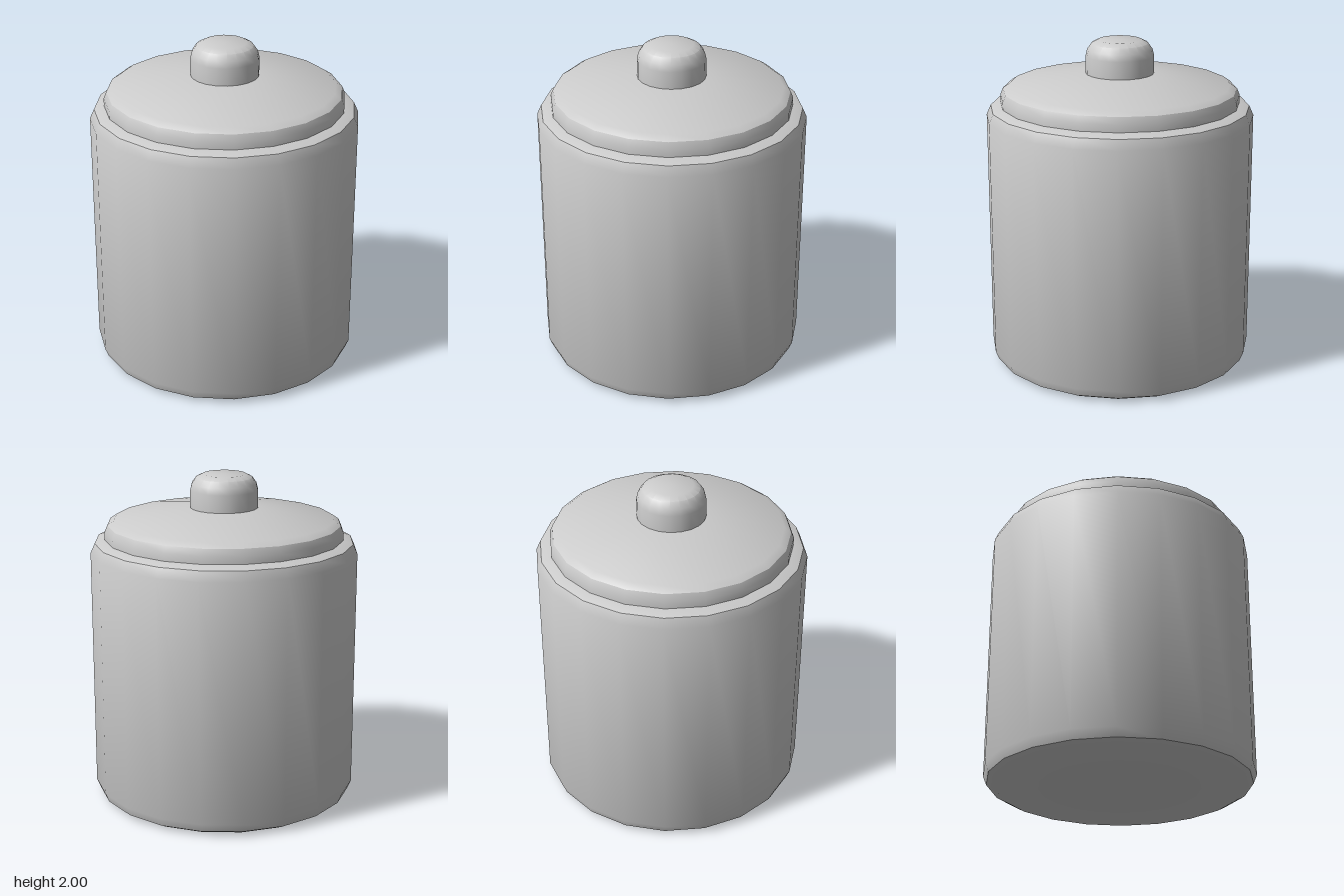
import * as THREE from 'three';
import { toCreasedNormals } from 'three/addons/utils/BufferGeometryUtils.js';

const SIDES = 20;
const material = new THREE.MeshStandardMaterial({ color: 0xcccccc });

// Turned part from [radius, height] pairs, bottom to top
function turned(name, profile) {
  const points = profile.map(([r, y]) => new THREE.Vector2(r, y));
  const geometry = toCreasedNormals(new THREE.LatheGeometry(points, SIDES), THREE.MathUtils.degToRad(30));
  const mesh = new THREE.Mesh(geometry, material);
  mesh.name = name;
  return mesh;
}

export function createModel() {
  const group = new THREE.Group();
  group.name = 'liddedJar';

  // Body with bevelled foot and shoulder
  group.add(turned('body', [
    [0, 0], [0.735, 0], [0.787, 0.028], [0.808, 0.08],
    [0.808, 1.54], [0.782, 1.598], [0.72, 1.62], [0, 1.62],
  ]));

  // Lid with rounded rim and shallow cone
  group.add(turned('lid', [
    [0, 1.615], [0.722, 1.615], [0.722, 1.665], [0.705, 1.705], [0.665, 1.732], [0.2, 1.8], [0, 1.8],
  ]));

  // Knob with rounded top
  group.add(turned('knob', [
    [0, 1.795], [0.205, 1.795], [0.205, 1.905], [0.195, 1.945], [0.17, 1.98], [0.13, 2], [0, 2],
  ]));

  return group;
}
